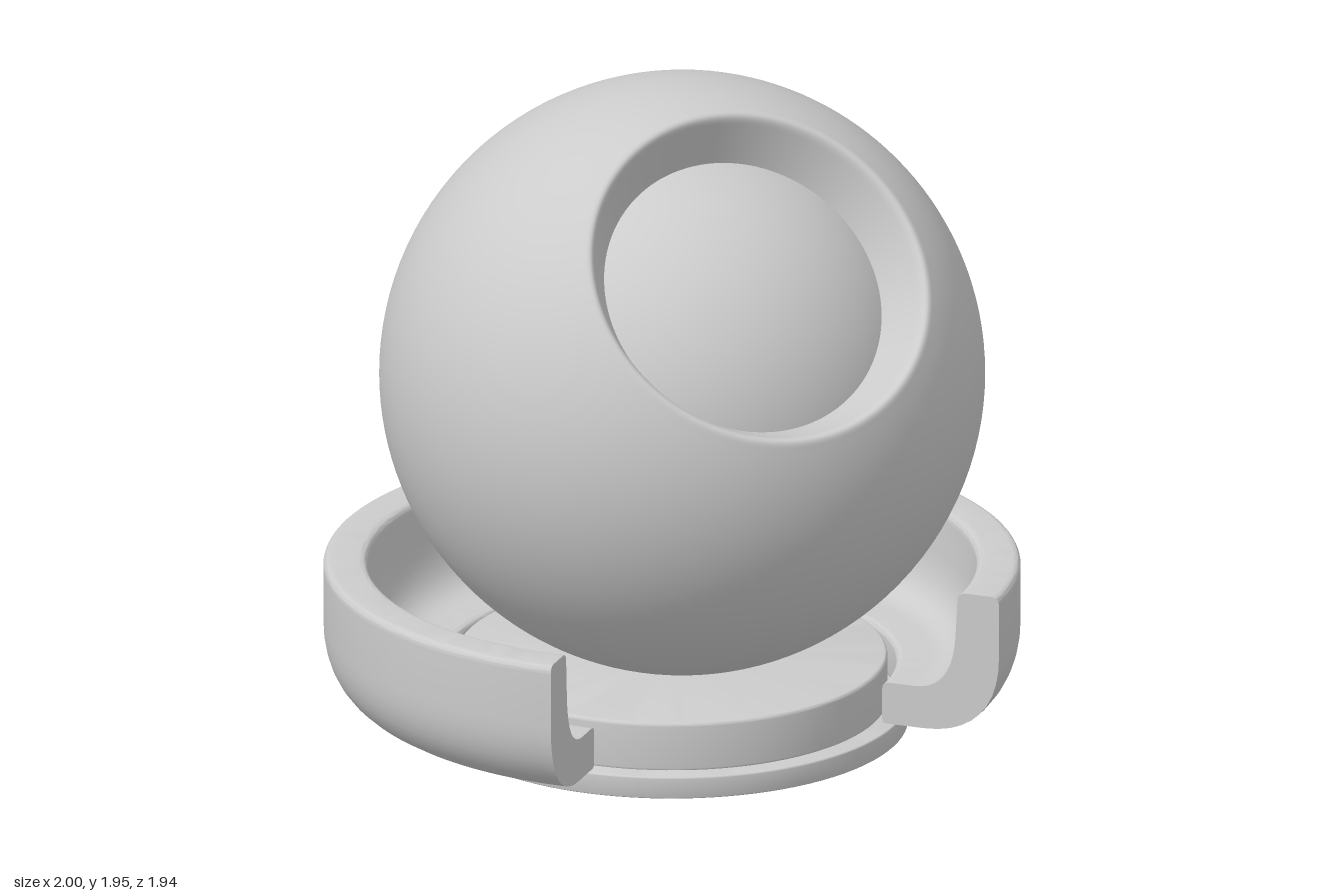
import * as THREE from 'three';
import { toCreasedNormals } from 'three/addons/utils/BufferGeometryUtils.js';

const BASE_Z = 0.03;
const material = new THREE.MeshStandardMaterial({ color: 0xcccccc });
const capMaterial = new THREE.MeshStandardMaterial({ color: 0xcccccc, side: THREE.DoubleSide });

function addMesh(parent, name, geometry, mat = material) {
  const mesh = new THREE.Mesh(geometry, mat);
  mesh.name = name;
  parent.add(mesh);
  return mesh;
}

// Solid disc with a small rounded edge
function disc(radius, bottom, top, bevel) {
  const shape = new THREE.Shape();
  shape.moveTo(0, bottom);
  shape.lineTo(radius - bevel, bottom);
  shape.quadraticCurveTo(radius, bottom, radius, bottom + bevel);
  shape.lineTo(radius, top - bevel);
  shape.quadraticCurveTo(radius, top, radius - bevel, top);
  shape.lineTo(0, top);
  return toCreasedNormals(new THREE.LatheGeometry(shape.getPoints(5), 96), 0.6);
}

// Cross-section of the open cup: x is the radius, y the height
function cupSection() {
  const s = new THREE.Shape();
  s.moveTo(0.655, 0.07);
  s.lineTo(0.77, 0.07);
  s.bezierCurveTo(0.92, 0.07, 1.0, 0.16, 1.0, 0.31);
  s.lineTo(1.0, 0.47);
  s.quadraticCurveTo(1.0, 0.495, 0.975, 0.495);
  s.lineTo(0.9, 0.495);
  s.quadraticCurveTo(0.873, 0.495, 0.873, 0.468);
  s.lineTo(0.867, 0.36);
  s.bezierCurveTo(0.86, 0.25, 0.82, 0.195, 0.74, 0.195);
  s.lineTo(0.665, 0.195);
  s.quadraticCurveTo(0.643, 0.195, 0.643, 0.175);
  s.lineTo(0.643, 0.085);
  s.quadraticCurveTo(0.643, 0.07, 0.655, 0.07);
  return s;
}

// Ball shell: sphere up to the opening, rounded rim, tapered wall inward
function shellGeometry(radius) {
  const points = [];
  const rim = Math.PI - Math.asin(0.528 / radius);
  for (let i = 0; i <= 72; i++) {
    const a = (rim * i) / 72;
    points.push(new THREE.Vector2(radius * Math.sin(a), -radius * Math.cos(a)));
  }
  const start = points[points.length - 1];
  const lip = new THREE.CubicBezierCurve(
    start,
    new THREE.Vector2(0.51, start.y + 0.015),
    new THREE.Vector2(0.499, 0.7),
    new THREE.Vector2(0.485, 0.672)
  );
  points.push(...lip.getPoints(10).slice(1));
  points.push(new THREE.Vector2(0.45, 0.609), new THREE.Vector2(0.415, 0.545));
  return new THREE.LatheGeometry(points, 128);
}

export function createModel() {
  const model = new THREE.Group();
  model.name = 'displayBall';

  // Round base and the pedestal the ball rests on
  const stand = new THREE.Group();
  stand.name = 'stand';
  stand.position.z = BASE_Z;
  model.add(stand);
  addMesh(stand, 'baseDisc', disc(0.678, 0, 0.066, 0.006));
  addMesh(stand, 'pedestal', disc(0.618, 0.06, 0.209, 0.012));

  // Three-quarter cup, open at the front
  const section = cupSection();
  const cup = new THREE.Group();
  cup.name = 'cup';
  stand.add(cup);
  const wall = new THREE.LatheGeometry(section.getPoints(10), 120, Math.PI / 4, Math.PI * 1.5);
  addMesh(cup, 'cupWall', toCreasedNormals(wall, 0.6));
  for (const [name, phi] of [['leftCupEnd', Math.PI / 4], ['rightCupEnd', Math.PI * 1.75]]) {
    const end = addMesh(cup, name, new THREE.ShapeGeometry(section, 10), capMaterial);
    end.rotation.y = phi - Math.PI / 2;
  }

  // Ball with a tilted round opening that reveals the inner core
  const ball = new THREE.Group();
  ball.name = 'ball';
  ball.position.set(0, 1.08, 0.1);
  ball.rotation.x = 0.855;
  model.add(ball);
  addMesh(ball, 'ballShell', shellGeometry(0.869));
  addMesh(ball, 'innerCore', new THREE.SphereGeometry(0.694, 96, 64));

  return model;
}
